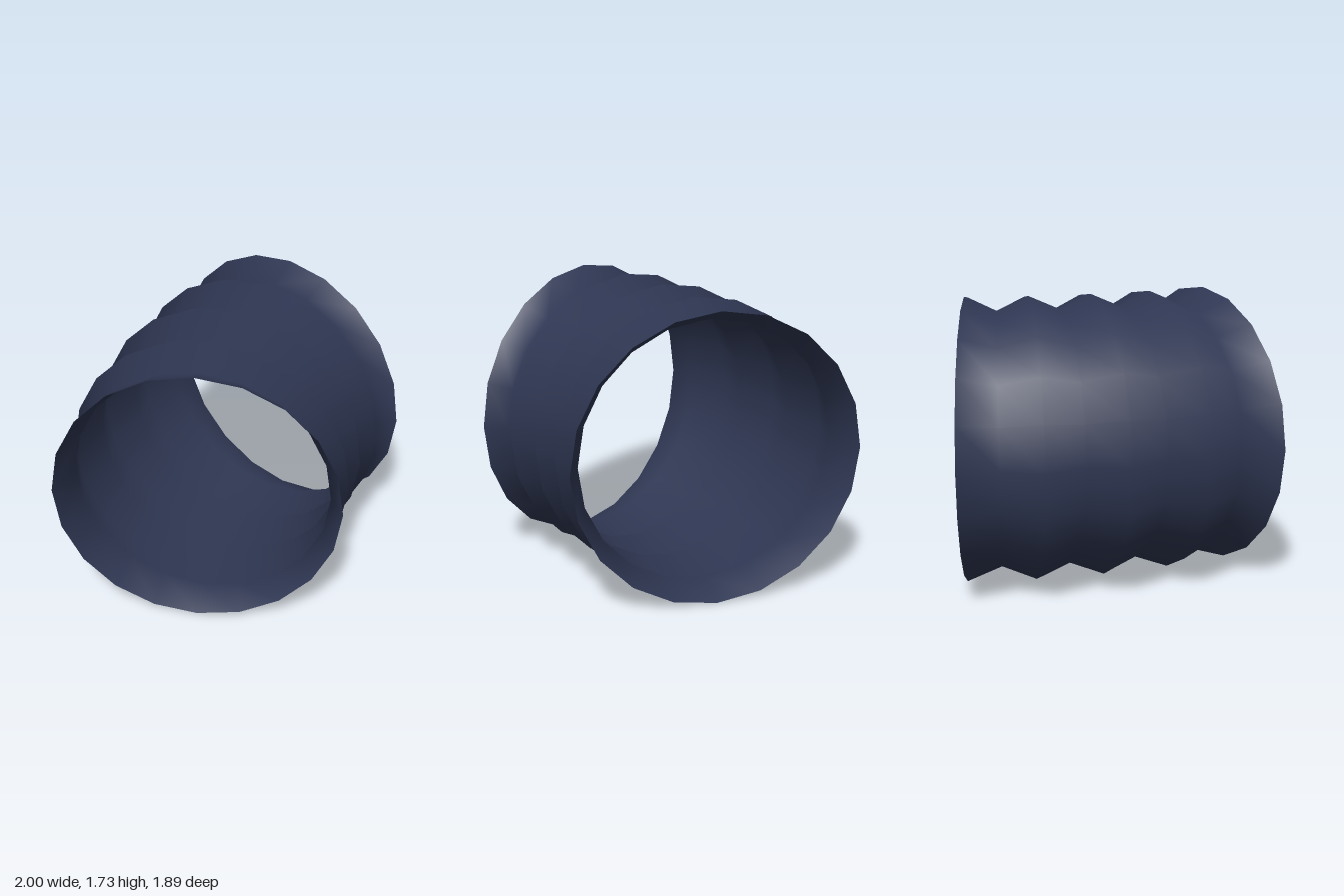
import * as THREE from 'three';
import { mergeVertices } from 'three/addons/utils/BufferGeometryUtils.js';

const SIDES = 20, BANDS = 8;          // pleats alternate wide and narrow rings
const WIDE = 0.865, NARROW = 0.78;    // ring radii
const BEND = Math.PI / 6, BEND_RADIUS = 2.91;
const START = new THREE.Vector3(-0.14, WIDE, -0.943);

// An open cylinder, pleated ring by ring and bent along a horizontal arc
function bellowsGeometry() {
  let geo = new THREE.CylinderGeometry(1, 1, 1, SIDES, BANDS, true);
  const pos = geo.attributes.position;
  for (let i = 0; i < pos.count; i++) {
    const ring = Math.round((pos.getY(i) + 0.5) * BANDS);
    const radius = ring % 2 ? NARROW : WIDE;
    const angle = (BEND * ring) / BANDS;
    const across = pos.getX(i) * radius;
    const up = -pos.getZ(i) * radius;
    pos.setXYZ(
      i,
      START.x + BEND_RADIUS * (1 - Math.cos(angle)) + across * Math.cos(angle),
      START.y + up,
      START.z + BEND_RADIUS * Math.sin(angle) - across * Math.sin(angle)
    );
  }
  // Weld the seam so the shading is smooth all round
  geo.deleteAttribute('uv');
  geo.deleteAttribute('normal');
  geo = mergeVertices(geo, 1e-4);
  geo.computeVertexNormals();
  return geo;
}

export function createModel() {
  const group = new THREE.Group();
  group.name = 'bentBellowsTube';
  const material = new THREE.MeshStandardMaterial({ color: 0x2f3753, side: THREE.DoubleSide });
  const bellows = new THREE.Mesh(bellowsGeometry(), material);
  bellows.name = 'bellows';
  group.add(bellows);
  return group;
}
